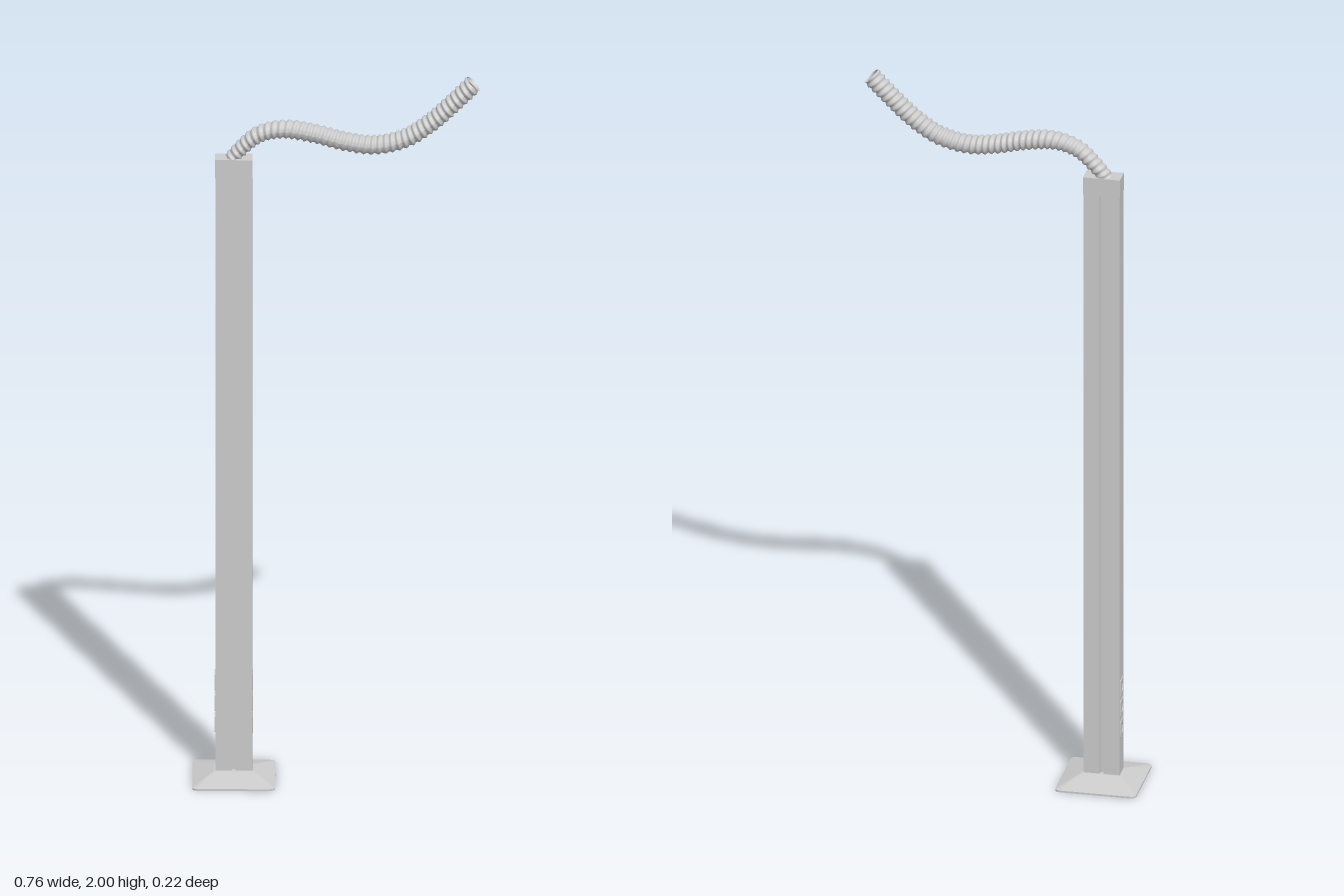
import * as THREE from 'three';

const POST_X = -0.275;

function roundedRect(w, h, r) {
  const s = new THREE.Shape(), x = w / 2, y = h / 2;
  s.moveTo(-x + r, -y);
  s.lineTo(x - r, -y).quadraticCurveTo(x, -y, x, -y + r);
  s.lineTo(x, y - r).quadraticCurveTo(x, y, x - r, y);
  s.lineTo(-x + r, y).quadraticCurveTo(-x, y, -x, y - r);
  s.lineTo(-x, -y + r).quadraticCurveTo(-x, -y, -x + r, -y);
  return s;
}

// Thin rounded plate sloping up to the foot of the post
function baseGeometry() {
  const g = new THREE.ExtrudeGeometry(roundedRect(0.22, 0.22, 0.016), {
    depth: 1, steps: 2, bevelEnabled: false, curveSegments: 5,
  });
  g.rotateX(-Math.PI / 2);
  const p = g.attributes.position;
  for (let i = 0; i < p.count; i++) {
    const level = Math.round(p.getY(i) * 2);
    p.setY(i, [0, 0.005, 0.025][level]);
    if (level === 2) {
      p.setX(i, p.getX(i) * 0.48);
      p.setZ(i, p.getZ(i) * 0.26);
    }
  }
  g.computeVertexNormals();
  return g;
}

// Rectangular profile with a cable slot in the front and back faces
function postGeometry() {
  const half = [[-0.049, -0.024], [-0.005, -0.024], [-0.005, -0.012],
    [0.005, -0.012], [0.005, -0.024], [0.049, -0.024]];
  const outline = [...half, ...half.map(([x, y]) => [-x, -y])];
  const shape = new THREE.Shape(outline.map(([x, y]) => new THREE.Vector2(x, y)));
  const g = new THREE.ExtrudeGeometry(shape, { depth: 1.71, bevelEnabled: false });
  return g.rotateX(-Math.PI / 2).translate(0, 0.02, 0);
}

// Tube whose radius follows a helical ridge along a curve
function hoseGeometry() {
  const path = new THREE.CatmullRomCurve3([
    [-0.285, 1.755, 0], [-0.255, 1.79, 0], [-0.205, 1.832, 0.005],
    [-0.14, 1.848, 0.012], [-0.06, 1.838, 0.018], [0.02, 1.818, 0.022],
    [0.1, 1.809, 0.025], [0.18, 1.828, 0.026], [0.25, 1.874, 0.026],
    [0.31, 1.93, 0.026], [0.362, 1.982, 0.026],
  ].map((a) => new THREE.Vector3(...a)));
  const turns = 42, rings = turns * 8, sides = 20;
  const pos = [], idx = [];
  const side = new THREE.Vector3(), up = new THREE.Vector3(), v = new THREE.Vector3();
  for (let i = 0; i <= rings; i++) {
    const u = i / rings, c = path.getPointAt(u), t = path.getTangentAt(u);
    side.set(0, 0, 1).addScaledVector(t, -t.z).normalize();
    up.crossVectors(side, t);
    const size = 0.78 + 0.22 * Math.min(1, u * 3.5);
    for (let j = 0; j <= sides; j++) {
      const a = (j / sides) * Math.PI * 2;
      const phase = (((u * turns - j / sides) % 1) + 1) % 1;
      const r = size * (1 - 0.22 * Math.abs(2 * phase - 1));
      v.copy(c).addScaledVector(side, Math.cos(a) * r * 0.031)
        .addScaledVector(up, Math.sin(a) * r * 0.027);
      pos.push(v.x, v.y, v.z);
      if (i < rings && j < sides) {
        const k = i * (sides + 1) + j, n = k + sides + 1;
        idx.push(k, k + 1, n, n, k + 1, n + 1);
      }
    }
  }
  const g = new THREE.BufferGeometry();
  g.setAttribute('position', new THREE.Float32BufferAttribute(pos, 3));
  g.setIndex(idx);
  g.computeVertexNormals();
  return g;
}

export function createModel() {
  const model = new THREE.Group();
  const grey = new THREE.MeshStandardMaterial({ color: 0xcccccc });
  const greyThin = new THREE.MeshStandardMaterial({ color: 0xcccccc, side: THREE.DoubleSide });
  const add = (name, geometry, parent = model, material = grey) => {
    const mesh = new THREE.Mesh(geometry, material);
    mesh.name = name;
    parent.add(mesh);
    return mesh;
  };

  // Column standing on its foot plate
  const column = new THREE.Group();
  column.name = 'column';
  column.position.x = POST_X;
  model.add(column);
  add('basePlate', baseGeometry(), column);
  add('post', postGeometry(), column);
  add('cap', new THREE.BoxGeometry(0.1, 0.05, 0.051), column).position.y = 1.739;

  // Power outlets low on both narrow sides
  for (const s of [1, -1]) {
    for (const y of [0.155, 0.215, 0.275]) {
      const outlet = new THREE.Group();
      outlet.name = s > 0 ? 'leftOutlet' : 'rightOutlet';
      outlet.position.set(s * 0.049, y, 0);
      outlet.rotation.y = s * Math.PI / 2;
      column.add(outlet);
      const plate = roundedRect(0.036, 0.048, 0.004);
      plate.holes.push(new THREE.Path().absarc(0, 0, 0.014, 0, Math.PI * 2, true));
      add('outletPlate', new THREE.ExtrudeGeometry(plate, {
        depth: 0.002, bevelEnabled: false, curveSegments: 8,
      }), outlet);
    }
  }

  // Flexible cable hose leaving the top of the column
  add('cableHose', hoseGeometry(), model, greyThin);
  return model;
}
